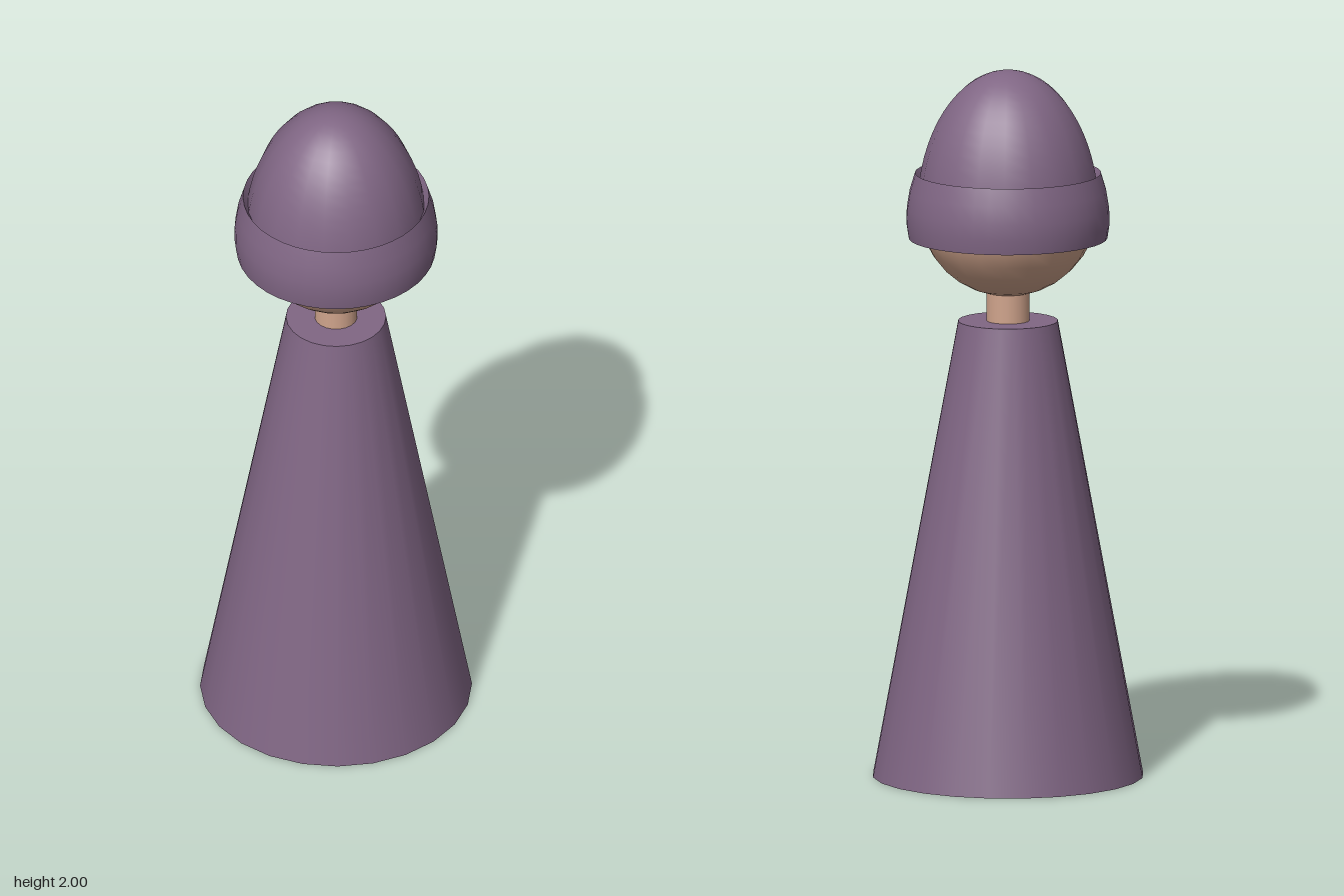
import * as THREE from 'three';

export function createModel() {
  const group = new THREE.Group();
  const cloth = new THREE.MeshStandardMaterial({ color: 0x806684 });
  cloth.name = 'purpleCloth';
  const skin = new THREE.MeshStandardMaterial({ color: 0xd0a48c });
  skin.name = 'skin';

  function add(name, geometry, material, y) {
    const mesh = new THREE.Mesh(geometry, material);
    mesh.name = name;
    mesh.position.y = y;
    group.add(mesh);
    return mesh;
  }

  // Tapered robe standing on the ground
  add('robe', new THREE.CylinderGeometry(0.14, 0.38, 1.29, 24), cloth, 0.645);

  // Neck runs from the robe into the head
  add('neck', new THREE.CylinderGeometry(0.06, 0.06, 0.16, 20), skin, 1.35);

  // Round head
  add('head', new THREE.SphereGeometry(0.253, 20, 16), skin, 1.615);

  // Tall rounded cap over the head
  const cap = add('cap', new THREE.SphereGeometry(0.254, 20, 16, 0, Math.PI * 2, 0, Math.PI / 2), cloth, 1.6);
  cap.scale.y = 0.4 / 0.254;

  // Turned-up cuff: separate strips keep the rims crisp
  const strips = {
    cuffUnderside: [[0.22, 1.525], [0.278, 1.525]],
    cuffOuter: [[0.278, 1.525], [0.284, 1.565], [0.283, 1.61], [0.275, 1.66], [0.26, 1.71]],
    cuffInner: [[0.26, 1.71], [0.235, 1.66]],
  };
  for (const [name, points] of Object.entries(strips)) {
    const profile = points.map(([r, y]) => new THREE.Vector2(r, y));
    add(name, new THREE.LatheGeometry(profile, 40), cloth, 0);
  }

  return group;
}
